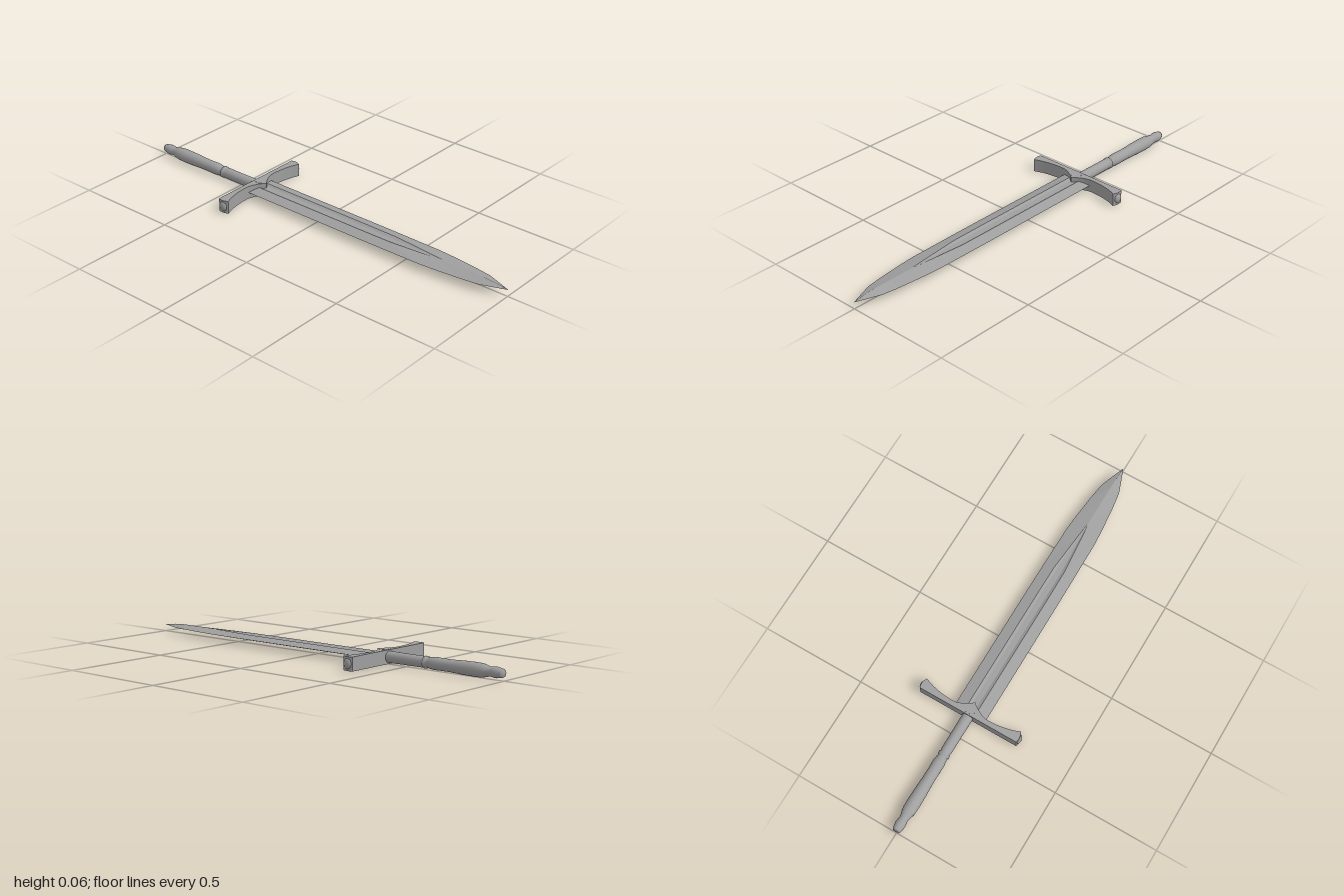
import * as THREE from 'three';

const MID = 0.035; // height of the sword's centre plane
const STEEL = 0x9f9f9f;
const smooth = new THREE.MeshStandardMaterial({ color: STEEL, side: THREE.DoubleSide });
const flat = new THREE.MeshStandardMaterial({ color: STEEL, flatShading: true, side: THREE.DoubleSide });

function addMesh(parent, name, geometry, material) {
  const mesh = new THREE.Mesh(geometry, material);
  mesh.name = name;
  parent.add(mesh);
  return mesh;
}

// Extrude a plan outline (x, z) symmetrically about the centre plane
function slab(shape, halfHeight) {
  const g = new THREE.ExtrudeGeometry(shape, { depth: halfHeight * 2, bevelEnabled: false, curveSegments: 10 });
  return g.translate(0, 0, -halfHeight).rotateX(-Math.PI / 2);
}

// Double-edged blade lofted from twelve-point sections with a fuller on each face
function bladeGeometry() {
  // x, half width, ridge offset, ridge height, fuller floor height
  const stations = [
    [-0.39, 0.078, 0.027, 0.0125, 0.006],
    [0.24, 0.078, 0.027, 0.0125, 0.006],
    [0.40, 0.077, 0.026, 0.0125, 0.006],
    [0.60, 0.075, 0.008, 0.0125, 0.010],
    [0.67, 0.070, 0.001, 0.0125, 0.0125],
    [0.80, 0.057, 0.001, 0.0125, 0.0125],
    [0.88, 0.045, 0.001, 0.0125, 0.0125],
    [0.93, 0.027, 0.001, 0.009, 0.009],
    [1.0, 0.0005, 0.0001, 0.0005, 0.0005],
  ];
  const positions = [], index = [], n = 12;
  for (const [x, w, r, h, f] of stations) {
    const top = [[w, 0], [r, h], [r * 0.5, f], [0, f], [-r * 0.5, f], [-r, h]];
    for (const [z, y] of top) positions.push(x, y, z);
    for (const [z, y] of top) positions.push(x, -y, -z);
  }
  for (let s = 0; s < stations.length - 1; s++) {
    for (let i = 0; i < n; i++) {
      const a = s * n + i, b = s * n + (i + 1) % n;
      index.push(a, a + n, b, b, a + n, b + n);
    }
  }
  const g = new THREE.BufferGeometry();
  g.setAttribute('position', new THREE.Float32BufferAttribute(positions, 3));
  g.setIndex(index);
  const out = g.toNonIndexed();
  out.computeVertexNormals();
  return out;
}

export function createModel() {
  const sword = new THREE.Group();
  sword.name = 'sword';
  const body = new THREE.Group();
  body.name = 'swordParts';
  body.position.y = MID;
  sword.add(body);

  addMesh(body, 'blade', bladeGeometry(), flat);

  // Crossguard: straight back, arched front, flared ends and a central point
  const guard = new THREE.Shape();
  guard.moveTo(-0.405, -0.246);
  guard.quadraticCurveTo(-0.38, -0.256, -0.353, -0.241);
  guard.quadraticCurveTo(-0.384, -0.17, -0.382, -0.08);
  guard.quadraticCurveTo(-0.372, -0.035, -0.34, 0);
  guard.quadraticCurveTo(-0.372, 0.035, -0.382, 0.08);
  guard.quadraticCurveTo(-0.384, 0.17, -0.353, 0.241);
  guard.quadraticCurveTo(-0.38, 0.256, -0.405, 0.246);
  guard.closePath();
  addMesh(body, 'crossguard', slab(guard, 0.031), smooth);

  // Raised pointed plate on the guard's upper and lower faces
  const plate = new THREE.Shape();
  plate.moveTo(-0.398, -0.02);
  plate.lineTo(-0.368, -0.025);
  plate.lineTo(-0.343, 0);
  plate.lineTo(-0.368, 0.025);
  plate.lineTo(-0.398, 0.02);
  plate.closePath();
  addMesh(body, 'guardPlate', slab(plate, 0.032), flat);

  // Domed studs on the guard's ends
  for (const side of [1, -1]) {
    const dome = new THREE.SphereGeometry(1, 16, 6, 0, Math.PI * 2, 0, Math.PI / 2);
    dome.scale(0.021, 0.012, 0.024).rotateX(side * Math.PI / 2);
    const stud = addMesh(body, 'guardStud', dome, smooth);
    stud.position.set(-0.38, 0, side * 0.246);
  }

  // Turned handle running from pommel knob to guard: x, radius
  const profile = [
    [-1, 0], [-1, 0.016], [-0.99, 0.02], [-0.965, 0.024], [-0.95, 0.022], [-0.935, 0.02], [-0.92, 0.024],
    [-0.895, 0.03], [-0.86, 0.031], [-0.8, 0.03], [-0.74, 0.027], [-0.69, 0.027],
    [-0.65, 0.028], [-0.625, 0.024], [-0.615, 0.02], [-0.612, 0.027], [-0.6, 0.027],
    [-0.597, 0.022], [-0.585, 0.025], [-0.5, 0.025], [-0.4, 0.026],
  ];
  const points = profile.map(([x, r]) => new THREE.Vector2(r, x));
  addMesh(body, 'handle', new THREE.LatheGeometry(points, 20).rotateZ(-Math.PI / 2), smooth);

  return sword;
}
